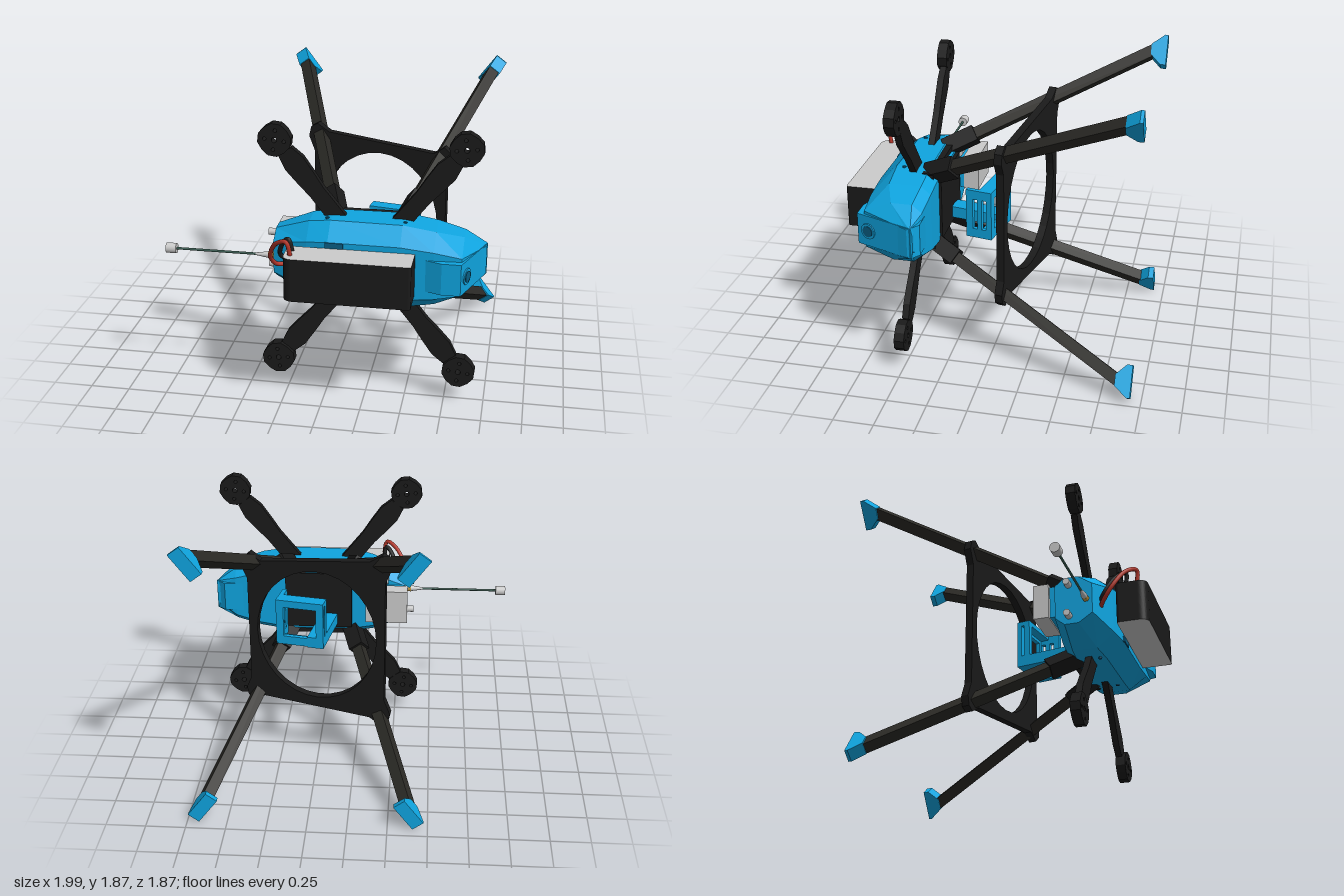
import * as THREE from 'three';

const mat = (color, flatShading = true) => new THREE.MeshStandardMaterial({ color, flatShading });
const BLUE = mat(0x0fa5e0), BLACK = mat(0x1a1a1a), CARBON = mat(0x2b2a26), GREY = mat(0xcccccc);
const DARKBLUE = mat(0x0a5f85), RED = mat(0xb5372a, false), WIRE = mat(0x222222, false);
const GOLD = mat(0xc09a45, false), GREEN = mat(0x35584e, false), SMOOTH = mat(0xcccccc, false);
const CX = 0.26, CY = 0.935; // centre of the airframe
const V = (x, y, z) => new THREE.Vector3(x, y, z);

export function createModel() {
  const model = new THREE.Group();
  const add = (name, geo, material, parent = model) => {
    const m = new THREE.Mesh(geo, material);
    m.name = name;
    parent.add(m);
    return m;
  };
  // box given by its limits
  const box = (name, x0, x1, y0, y1, z0, z1, material, parent) =>
    add(name, new THREE.BoxGeometry(x1 - x0, y1 - y0, z1 - z0)
      .translate((x0 + x1) / 2, (y0 + y1) / 2, (z0 + z1) / 2), material, parent);
  const poly = (pts) => new THREE.Shape(pts.map(([x, y]) => new THREE.Vector2(x, y)));
  const extrude = (shape, depth) =>
    new THREE.ExtrudeGeometry(shape, { depth, bevelEnabled: false, curveSegments: 16 });
  // x-z outline extruded between two heights
  const plan = (shape, y0, y1) => extrude(shape, y1 - y0).rotateX(Math.PI / 2).translate(0, y1, 0);
  // cylinder along an arbitrary direction
  const rod = (name, a, b, r0, r1, material, sides = 16) => {
    const d = b.clone().sub(a);
    const m = add(name, new THREE.CylinderGeometry(r1, r0, d.length(), sides), material);
    m.position.copy(a).add(b).multiplyScalar(0.5);
    m.quaternion.setFromUnitVectors(V(0, 1, 0), d.normalize());
    return m;
  };
  const hole = (x, y, rx, ry = rx) => new THREE.Path().absellipse(x, y, rx, ry, 0, Math.PI * 2, true);

  // Faceted body shell: sections of x, half height, back z, shoulder z, front z, front half height
  const sections = [
    [-0.31, 0.16, 0.37, 0.52, 0.61, 0.1], [-0.09, 0.245, 0.36, 0.58, 0.69, 0.15],
    [0.045, 0.268, 0.36, 0.61, 0.725, 0.17], [0.48, 0.268, 0.35, 0.62, 0.73, 0.17],
    [0.68, 0.235, 0.35, 0.61, 0.73, 0.15], [0.845, 0.19, 0.36, 0.55, 0.72, 0.12],
    [0.975, 0.1, 0.385, 0.405, 0.42, 0.09]];
  const rings = sections.map(([x, h, zb, zm, zf, hf]) => {
    const zs = Math.min(zb + 0.06, (zb + zm) / 2), hb = h - 0.05;
    return [[-hb, zb], [hb, zb], [h, zs], [h, zm], [hf, zf], [-hf, zf], [-h, zm], [-h, zs]]
      .map(([y, z]) => [x, CY + y, z]);
  });
  const verts = [];
  for (let i = 0; i < rings.length - 1; i++) {
    for (let j = 0; j < 8; j++) {
      const k = (j + 1) % 8, p = rings[i], q = rings[i + 1];
      verts.push(...p[j], ...p[k], ...q[k], ...p[j], ...q[k], ...q[j]);
    }
  }
  const first = rings[0], last = rings[rings.length - 1];
  for (let j = 1; j < 7; j++) {
    verts.push(...last[0], ...last[j], ...last[j + 1], ...first[0], ...first[j + 1], ...first[j]);
  }
  const shell = new THREE.BufferGeometry();
  shell.setAttribute('position', new THREE.Float32BufferAttribute(verts, 3));
  shell.computeVertexNormals();
  add('bodyShell', shell, BLUE);

  // Nose housing with its lens
  add('noseHousing', plan(poly([[0.55, 0.7], [0.73, 0.765], [0.845, 0.765], [0.978, 0.4], [0.92, 0.355], [0.6, 0.36]]),
    CY - 0.1, CY + 0.1), BLUE);
  const n = V(0.94, 0, 0.34), lens = V(0.872, CY, 0.69);
  const at = (d) => lens.clone().addScaledVector(n, d);
  rod('lensRing', at(-0.03), at(0.008), 0.055, 0.05, BLUE);
  rod('lens', at(-0.03), at(0.012), 0.035, 0.035, DARKBLUE);
  for (const s of [-1, 1]) {
    box('frontSlot', 0.03, 0.14, CY + s * 0.15 - 0.02, CY + s * 0.15 + 0.02, 0.7, 0.732, DARKBLUE);
    for (const x of [0.02, 0.49]) rod('sideScrew', V(x, CY + s * 0.2, 0.57), V(x, CY + s * 0.272, 0.57), 0.012, 0.012, DARKBLUE, 8);
    rod('rearKnob', V(-0.37, CY + s * 0.107, 0.46), V(-0.29, CY + s * 0.107, 0.46), 0.022, 0.022, SMOOTH);
  }
  box('centrePlate', 0.07, 0.55, CY - 0.262, CY + 0.262, 0.37, 0.44, BLACK);
  box('backCover', 0.05, 0.5, CY - 0.2, CY + 0.2, 0.335, 0.4, BLACK);

  // Battery with dark wrap and grey ends
  const pack = new THREE.Shape().moveTo(0.57, 0.73).lineTo(0.57, 0.91)
    .quadraticCurveTo(0.57, 0.93, 0.55, 0.93).lineTo(-0.14, 0.93)
    .quadraticCurveTo(-0.19, 0.92, -0.19, 0.87).lineTo(-0.19, 0.75).quadraticCurveTo(-0.19, 0.73, -0.17, 0.73);
  add('battery', plan(pack, 0.8, 1.07), [GREY, BLACK]);

  // Power leads
  const tube = (name, pts, r, m) =>
    add(name, new THREE.TubeGeometry(new THREE.CatmullRomCurve3(pts.map((p) => V(...p))), 32, r, 8), m);
  tube('redLead', [[-0.15, 1.05, 0.86], [-0.17, 1.15, 0.87], [-0.25, 1.11, 0.81], [-0.3, 0.99, 0.73], [-0.27, 0.92, 0.67], [-0.18, 0.92, 0.63]], 0.014, RED);
  tube('blackLead', [[-0.15, 1.05, 0.79], [-0.17, 1.14, 0.8], [-0.22, 1.09, 0.74], [-0.25, 0.98, 0.67], [-0.18, 0.93, 0.62]], 0.014, WIRE);

  // Antenna
  const ax = (x) => V(x, 0.932, 0.57);
  rod('antennaTip', ax(-1), ax(-0.935), 0.032, 0.032, SMOOTH, 20);
  rod('antennaRod', ax(-0.94), ax(-0.4), 0.008, 0.008, GREEN, 8);
  rod('antennaSleeve', ax(-0.43), ax(-0.35), 0.008, 0.02, SMOOTH);
  rod('antennaConnector', ax(-0.35), ax(-0.29), 0.022, 0.022, GOLD, 6);

  // Rear electronics
  box('rearModule', -0.33, -0.05, 0.83, 1.06, 0.235, 0.335, GREY);
  box('rearModuleMount', -0.3, -0.05, 0.84, 1.05, 0.335, 0.4, BLUE);
  rod('rearCapacitor', V(-0.2, 1.09, 0.365), V(-0.04, 1.09, 0.365), 0.03, 0.03, SMOOTH);

  // Arms with motor mounts
  const armShape = poly([[0.2, -0.055], [0.52, -0.052], [0.62, -0.062], [0.74, -0.07], [0.83, -0.05],
    [0.83, 0.05], [0.74, 0.07], [0.62, 0.062], [0.52, 0.052], [0.2, 0.055]]);
  const motorShape = new THREE.Shape();
  for (let i = 0; i < 12; i++) {
    const a = i / 12 * Math.PI * 2, r = i % 3 === 0 ? 0.098 : 0.104;
    motorShape[i ? 'lineTo' : 'moveTo'](0.926 + r * Math.cos(a), r * Math.sin(a));
  }
  for (let i = 0; i < 4; i++) {
    const a = Math.PI / 4 + i * Math.PI / 2;
    motorShape.holes.push(hole(0.926 + 0.06 * Math.cos(a), 0.06 * Math.sin(a), 0.011));
  }
  motorShape.holes.push(hole(0.926, 0, 0.016));

  // Leg foot: a wedge across the tip
  const footShape = poly([[-0.1, -0.935], [0.1, -0.935], [0.1, -0.915], [0.035, -0.835], [-0.035, -0.835], [-0.1, -0.9]]);

  for (const sx of [-1, 1]) for (const sy of [-1, 1]) {
    const arm = new THREE.Group();
    arm.name = 'arm';
    arm.position.set(CX + 0.005, CY, 0);
    arm.rotation.z = Math.atan2(sy * 0.728, sx * 0.572);
    model.add(arm);
    add('armPlate', extrude(armShape, 0.042).translate(0, 0, 0.48), BLACK, arm);
    add('motorMount', extrude(motorShape, 0.064).translate(0, 0, 0.479), BLACK, arm);

    // splayed square leg
    const a = V(CX + sx * 0.21, CY + sy * 0.23, 0.41), b = V(CX + sx * 0.65, CY + sy * 0.85, -0.89);
    const dir = b.clone().sub(a), len = dir.length();
    dir.normalize();
    const side = V(-dir.y, dir.x, 0).normalize();
    const leg = new THREE.Group();
    leg.name = 'leg';
    leg.quaternion.setFromRotationMatrix(new THREE.Matrix4().makeBasis(side.clone().cross(dir), side, dir));
    leg.position.copy(a);
    model.add(leg);
    box('legTube', -0.036, 0.036, -0.036, 0.036, 0, len, CARBON, leg);
    box('legSocket', -0.052, 0.052, -0.052, 0.052, -0.02, 0.2, BLACK, leg);

    const foot = add('foot', plan(footShape, -0.042, 0.042), BLUE);
    foot.position.set(CX + sx * 0.64, CY + sy * 0.83, 0);
    foot.rotation.z = Math.atan2(sy * 0.8, sx * 0.6);
  }

  // Tilted brace frame joining the legs
  const upper = [[0.45, 0.36], [0.485, 0.44], [0.475, 0.5], [0.43, 0.54], [0.36, 0.492],
    [-0.35, 0.56], [-0.43, 0.61], [-0.475, 0.585], [-0.49, 0.52], [-0.45, 0.42]];
  const brace = poly([...upper, ...upper.map(([x, y]) => [x, -y]).reverse()]);
  brace.holes.push(hole(0, 0, 0.395, 0.455));
  const frame = add('braceFrame', extrude(brace, 0.05).translate(0, 0, -0.025), BLACK);
  frame.position.set(CX - 0.02, CY, -0.157);
  frame.rotation.y = -0.178;

  // Camera cage carried behind the body
  const cage = new THREE.Group();
  cage.name = 'cameraCage';
  cage.position.set(0.37, 0, -0.015);
  cage.rotation.y = -0.178;
  model.add(cage);
  box('cageArm', -0.16, -0.05, 0.765, 0.84, 0, 0.375, BLUE, cage);
  const slotted = (w, h, holes) => {
    const s = poly([[0, 0], [w, 0], [w, h], [0, h]]);
    for (const [x0, x1, y0, y1] of holes) s.holes.push(poly([[x0, y0], [x0, y1], [x1, y1], [x1, y0]]));
    return extrude(s, 0.03);
  };
  add('cageBack', slotted(0.32, 0.32, [[0.05, 0.27, 0.06, 0.27]]).translate(-0.16, 0.77, 0), BLUE, cage);
  add('cageSide', slotted(0.17, 0.32, [[0.035, 0.065, 0.06, 0.26], [0.095, 0.125, 0.06, 0.26]])
    .rotateY(-Math.PI / 2).translate(0.16, 0.77, 0), BLUE, cage);
  box('cageTopRail', -0.16, 0.16, 1.06, 1.09, 0, 0.09, BLUE, cage);
  box('cageBottomRail', -0.16, 0.16, 0.77, 0.8, 0, 0.09, BLUE, cage);
  box('cagePost', -0.16, -0.12, 0.77, 1.09, 0.05, 0.09, BLUE, cage);
  return model;
}
